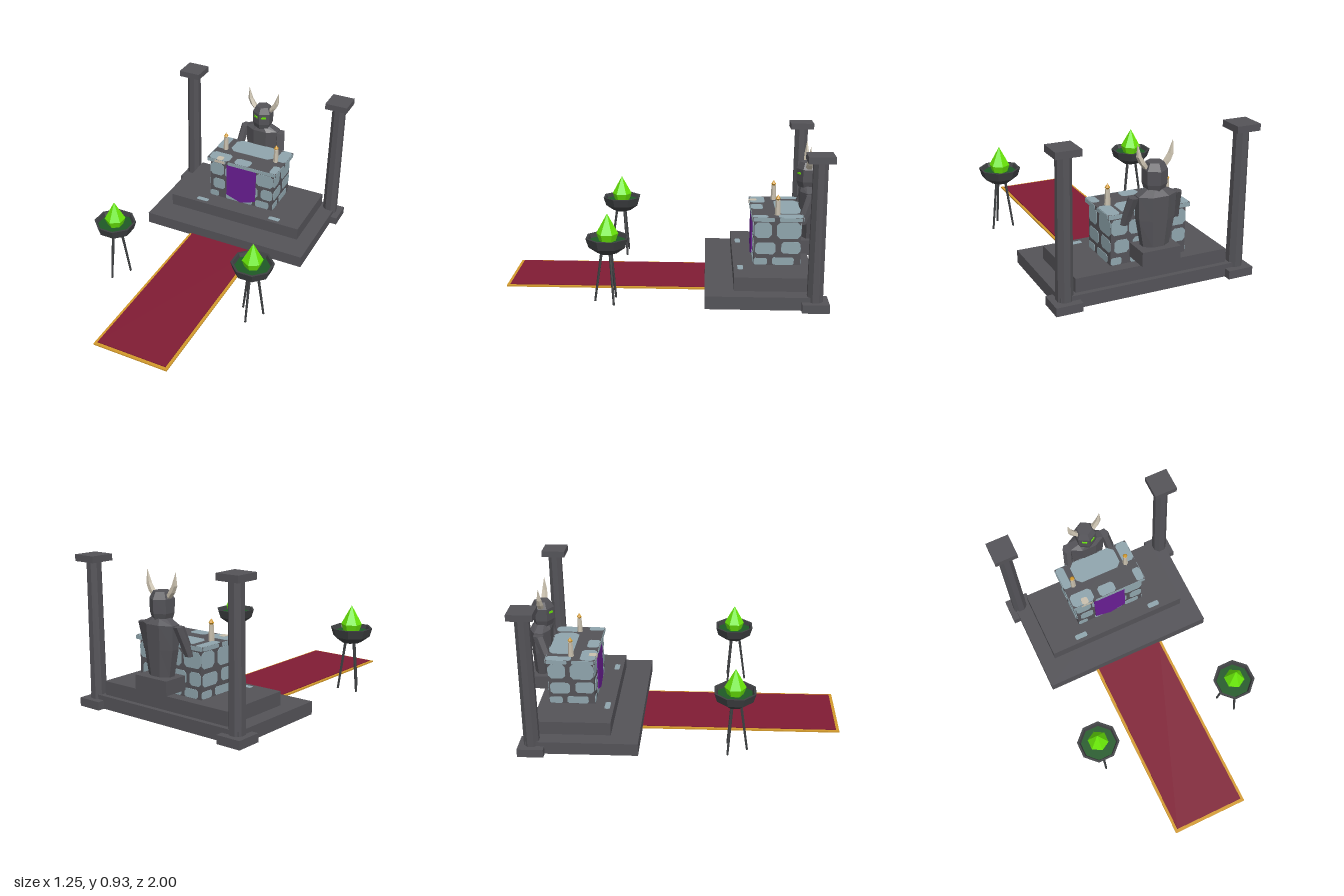
import * as THREE from 'three';

const mat = (name, color) => {
  const m = new THREE.MeshStandardMaterial({ color });
  m.name = name;
  return m;
};

export function createModel() {
  const root = new THREE.Group();
  root.name = 'throneAltar';
  const grey = mat('darkStone', 0x545358), iron = mat('iron', 0x3e4042), stone = mat('paleStone', 0x8fa5ad);
  const gold = mat('gold', 0xd39a2c), red = mat('carpetRed', 0x801c34), purple = mat('bannerPurple', 0x681e92);
  const green = mat('glowGreen', 0x6aea08), moss = mat('deepGreen', 0x1f5a26), bone = mat('bone', 0xc8bfad);

  const add = (name, geo, material, parent = root) => {
    const m = new THREE.Mesh(geo, material);
    m.name = name;
    parent.add(m);
    return m;
  };

  // Box given by its extents
  const box = (name, x0, x1, y0, y1, z0, z1, material, parent) => {
    const m = add(name, new THREE.BoxGeometry(x1 - x0, y1 - y0, z1 - z0), material, parent);
    m.position.set((x0 + x1) / 2, (y0 + y1) / 2, (z0 + z1) / 2);
    return m;
  };

  // Faceted skin over horizontal rings [cx, y, cz, rx, rz]
  const loft = (rings, n, phase = 0) => {
    const pos = [];
    const pt = ([cx, y, cz, rx, rz], i) => {
      const t = phase + (i / n) * Math.PI * 2;
      return [cx + rx * Math.sin(t), y, cz + rz * Math.cos(t)];
    };
    const mid = (r) => [r[0], r[1], r[2]];
    const last = rings[rings.length - 1];
    for (let i = 0; i < n; i++) {
      for (let k = 0; k < rings.length - 1; k++) {
        const [lo, hi] = [rings[k], rings[k + 1]];
        const a = pt(lo, i), b = pt(lo, i + 1), c = pt(hi, i + 1), d = pt(hi, i);
        pos.push(...a, ...b, ...d);
        if (hi[3] > 0) pos.push(...b, ...c, ...d);
      }
      pos.push(...mid(rings[0]), ...pt(rings[0], i + 1), ...pt(rings[0], i));
      if (last[3] > 0) pos.push(...mid(last), ...pt(last, i), ...pt(last, i + 1));
    }
    const g = new THREE.BufferGeometry();
    g.setAttribute('position', new THREE.Float32BufferAttribute(pos, 3));
    g.computeVertexNormals();
    return g;
  };

  // Thin stone plate with cut corners
  const plate = (x0, y0, x1, y1, depth = 0.003) => {
    const c = Math.min(x1 - x0, y1 - y0) * 0.2;
    const pts = [[x0 + c, y0], [x1 - c, y0], [x1, y0 + c], [x1, y1 - c], [x1 - c, y1], [x0 + c, y1], [x0, y1 - c], [x0, y0 + c]];
    const shape = new THREE.Shape(pts.map((p) => new THREE.Vector2(...p)));
    return new THREE.ExtrudeGeometry(shape, { depth, bevelEnabled: false });
  };

  // Stepped platform
  box('lowerStep', -0.58, 0.58, 0, 0.08, -0.935, -0.25, grey);
  box('upperStep', -0.48, 0.48, 0.08, 0.165, -0.905, -0.425, grey);

  // Carpet with a gold border
  box('carpetBorder', -0.25, 0.25, 0, 0.009, -0.25, 1, gold);
  box('carpet', -0.232, 0.232, 0.009, 0.014, -0.25, 0.98, red);

  // Pillars
  const oct = Math.PI / 8, wide = 1 / Math.cos(oct);
  for (const s of [-1, 1]) {
    const p = new THREE.Group();
    p.name = 'pillar';
    p.position.set(s * 0.545, 0, -0.9);
    root.add(p);
    box('pillarBase', -0.08, 0.08, 0, 0.052, -0.08, 0.08, grey, p);
    box('pillarCap', -0.075, 0.075, 0.89, 0.93, -0.077, 0.077, grey, p);
    add('pillarShaft', loft([[0, 0.05, 0, 0.046 * wide, 0.046 * wide], [0, 0.89, 0, 0.042 * wide, 0.042 * wide]], 8, oct), grey, p);
  }

  // Altar block and slab
  box('altarBody', -0.237, 0.237, 0.165, 0.45, -0.84, -0.55, grey);
  box('altarSlab', -0.258, 0.258, 0.45, 0.474, -0.85, -0.538, grey);
  const face = (name, x, z, turn, list) => {
    const g = new THREE.Group();
    g.name = name;
    g.position.set(x, 0, z);
    g.rotation.y = turn;
    root.add(g);
    list.forEach((r) => add('paleStone', plate(...r), stone, g));
  };
  const longWall = [
    [-0.236, 0.345, -0.135, 0.438], [0.11, 0.343, 0.236, 0.438], [-0.215, 0.235, -0.125, 0.315],
    [0.15, 0.24, 0.236, 0.32], [-0.236, 0.167, -0.17, 0.21], [0.11, 0.167, 0.21, 0.22],
    [-0.115, 0.167, 0.085, 0.212], [-0.125, 0.34, -0.02, 0.425], [0, 0.34, 0.09, 0.438], [-0.1, 0.235, 0.125, 0.318],
  ];
  const shortWall = [
    [-0.143, 0.34, -0.035, 0.438], [-0.005, 0.335, 0.143, 0.44], [-0.135, 0.235, -0.01, 0.31],
    [0.025, 0.24, 0.143, 0.315], [-0.143, 0.167, -0.06, 0.21], [-0.03, 0.167, 0.105, 0.215],
  ];
  face('altarFront', 0, -0.55, 0, longWall);
  face('altarBack', 0, -0.84, Math.PI, longWall);
  face('altarLeft', 0.237, -0.695, Math.PI / 2, shortWall);
  face('altarRight', -0.237, -0.695, -Math.PI / 2, shortWall);
  const edge = [[-0.258, 0.45, -0.12, 0.474], [-0.1, 0.45, 0.258, 0.474]];
  const shortEdge = [[-0.15, 0.45, -0.02, 0.474], [0.01, 0.45, 0.15, 0.474]];
  face('slabFront', 0, -0.538, 0, edge);
  face('slabBack', 0, -0.85, Math.PI, edge);
  face('slabLeft', 0.258, -0.694, Math.PI / 2, shortEdge);
  face('slabRight', -0.258, -0.694, -Math.PI / 2, shortEdge);

  // Pale stones lying flat, in x and -z
  const flat = (name, y, list) => {
    const g = new THREE.Group();
    g.name = name;
    g.position.y = y;
    g.rotation.x = -Math.PI / 2;
    root.add(g);
    list.forEach((r) => add('paleStone', plate(...r), stone, g));
    return g;
  };
  const top = flat('slabTop', 0.473, [
    [-0.16, 0.69, 0.16, 0.848], [-0.257, 0.69, -0.2, 0.848], [0.18, 0.7, 0.257, 0.848],
    [-0.252, 0.54, -0.1, 0.635], [-0.06, 0.54, 0.055, 0.615], [0.205, 0.54, 0.257, 0.635],
  ]);
  add('waxSpill', plate(-0.19, 0.536, -0.145, 0.585, 0.005), bone, top);
  box('waxDrip', -0.2, -0.125, 0.453, 0.472, -0.538, -0.534, bone);
  flat('stepStones', 0.163, [[-0.3, 0.45, -0.215, 0.485], [0.25, 0.45, 0.33, 0.485]]);

  // Banner hanging on the altar front
  const flag = new THREE.Shape([[-0.11, 0.448], [-0.11, 0.205], [0, 0.167], [0.11, 0.205], [0.11, 0.448]].map((p) => new THREE.Vector2(...p)));
  add('banner', new THREE.ExtrudeGeometry(flag, { depth: 0.006, bevelEnabled: false }), purple).position.z = -0.546;

  // Candles
  for (const s of [-1, 1]) {
    const x = s * 0.19, z = -0.695;
    add('candle', loft([[x, 0.474, z, 0.018, 0.018], [x, 0.57, z, 0.014, 0.014]], 6), bone);
    add('candleFlame', loft([[x, 0.568, z, 0.007, 0.007], [x, 0.58, z, 0.016, 0.016], [x, 0.605, z, 0, 0]], 6), gold);
  }

  // Tripod braziers with glowing crystals
  const up = new THREE.Vector3(0, 1, 0);
  for (const s of [-1, 1]) {
    const b = new THREE.Group();
    b.name = 'brazier';
    b.position.set(s * 0.48, 0, 0.33);
    root.add(b);
    const ring = (r, y) => [0, y, 0, r, r];
    add('bowl', loft([ring(0.062, 0.315), ring(0.117, 0.355), ring(0.134, 0.41), ring(0.12, 0.41), ring(0.105, 0.37)], 8, oct), iron, b);
    add('embers', loft([ring(0.1, 0.365), ring(0.111, 0.386)], 8, oct), moss, b);
    add('crystal', loft([ring(0.045, 0.375), ring(0.066, 0.432), ring(0, 0.552)], 6), green, b);
    for (let i = 0; i < 3; i++) {
      const t = (i * 2 * Math.PI) / 3;
      const foot = new THREE.Vector3(Math.sin(t) * 0.08, 0.003, Math.cos(t) * 0.08);
      const hip = new THREE.Vector3(Math.sin(t) * 0.034, 0.325, Math.cos(t) * 0.034);
      const dir = hip.clone().sub(foot);
      const leg = add('brazierLeg', new THREE.CylinderGeometry(0.009, 0.007, dir.length(), 5).toNonIndexed(), iron, b);
      leg.geometry.computeVertexNormals();
      leg.position.copy(foot).add(hip).multiplyScalar(0.5);
      leg.quaternion.setFromUnitVectors(up, dir.normalize());
    }
  }

  // Seated armoured figure
  box('seat', -0.12, 0.12, 0.205, 0.29, -1, -0.845, grey);
  const slab = (y, hw, hd, z) => [0, y, z, hw * wide, hd * wide];
  add('torso', loft([slab(0.285, 0.08, 0.05, -0.91), slab(0.45, 0.11, 0.06, -0.908), slab(0.59, 0.117, 0.066, -0.908), slab(0.622, 0.055, 0.045, -0.9)], 8, oct), grey);
  const hz = -0.893;
  add('helmet', loft([[0, 0.612, hz, 0.058, 0.058], [0, 0.65, hz, 0.071, 0.071], [0, 0.73, hz, 0.073, 0.073], [0, 0.772, hz, 0.05, 0.05]], 6), grey);
  for (const s of [-1, 1]) {
    add('arm', loft([[s * 0.16, 0.41, -0.85, 0.026, 0.026], [s * 0.15, 0.47, -0.865, 0.03, 0.032], [s * 0.134, 0.585, -0.905, 0.03, 0.036]], 6, Math.PI / 6), grey);
    add('horn', loft([[s * 0.048, 0.735, hz, 0.019, 0.02], [s * 0.075, 0.768, hz, 0.022, 0.021], [s * 0.097, 0.808, hz, 0.018, 0.016], [s * 0.109, 0.887, hz, 0, 0]], 5), bone);
    const eye = add('eye', new THREE.BoxGeometry(0.034, 0.013, 0.009), green);
    eye.position.set(s * 0.028, 0.703, hz + 0.056);
    eye.rotation.set(0, s * Math.PI / 6, s * 0.1, 'YXZ');
  }
  return root;
}
